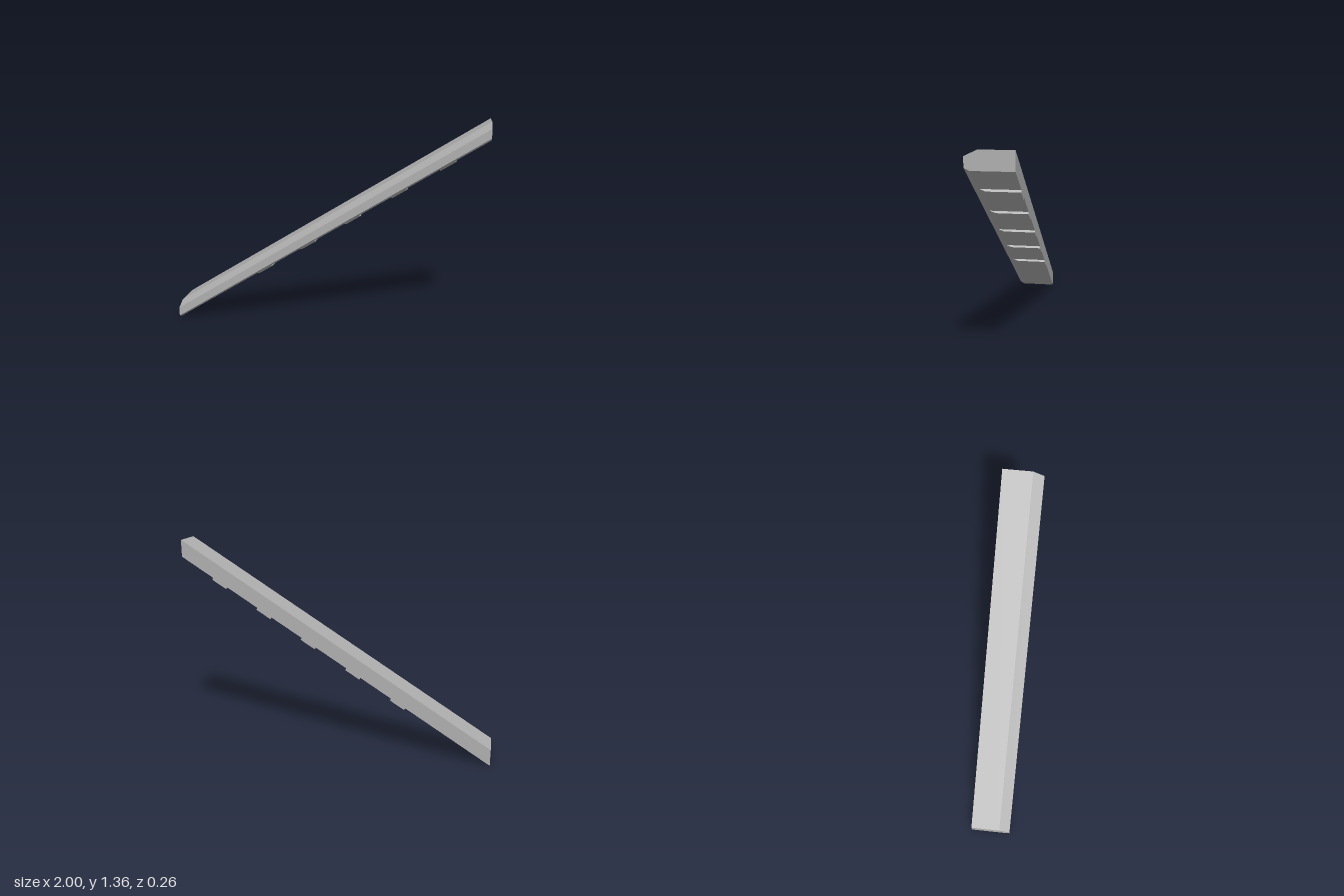
import * as THREE from 'three';

const SLOPE = 0.6265;

// Extrudes a [z, y] cross-section along x, centred on x = 0
function prism(section, length) {
  const shape = new THREE.Shape(section.map(([z, y]) => new THREE.Vector2(-z, y)));
  const geometry = new THREE.ExtrudeGeometry(shape, { depth: length, bevelEnabled: false });
  return geometry.translate(0, 0, -length / 2).rotateY(Math.PI / 2);
}

export function createModel() {
  const group = new THREE.Group();
  group.name = 'slopedRail';
  const grey = new THREE.MeshStandardMaterial({ color: 0xb0b0b0 });
  grey.name = 'grey';

  // Long rail with chamfered front edges, sheared so its ends stay vertical
  const railGeometry = prism([
    [-0.13, 0], [0.10, 0], [0.13, 0.015], [0.13, 0.072], [0.06, 0.107], [-0.13, 0.107],
  ], 2);
  railGeometry.applyMatrix4(new THREE.Matrix4().set(
    1, 0, 0, 0,
    SLOPE, 1, 0, SLOPE,
    0, 0, 1, 0,
    0, 0, 0, 1,
  ));
  railGeometry.computeVertexNormals();
  const rail = new THREE.Mesh(railGeometry, grey);
  rail.name = 'rail';
  group.add(rail);

  // Five shallow grip pads along the underside, square to the slope
  const padGeometry = prism([[-0.13, -0.014], [0.06, -0.014], [0.095, 0], [-0.13, 0]], 0.108);
  for (let i = 0; i < 5; i++) {
    const x = -0.411 + i * 0.29;
    const pad = new THREE.Mesh(padGeometry, grey);
    pad.name = `gripPad${i + 1}`;
    pad.position.set(x, SLOPE * (x + 1), 0);
    pad.rotation.z = Math.atan(SLOPE);
    group.add(pad);
  }
  return group;
}
